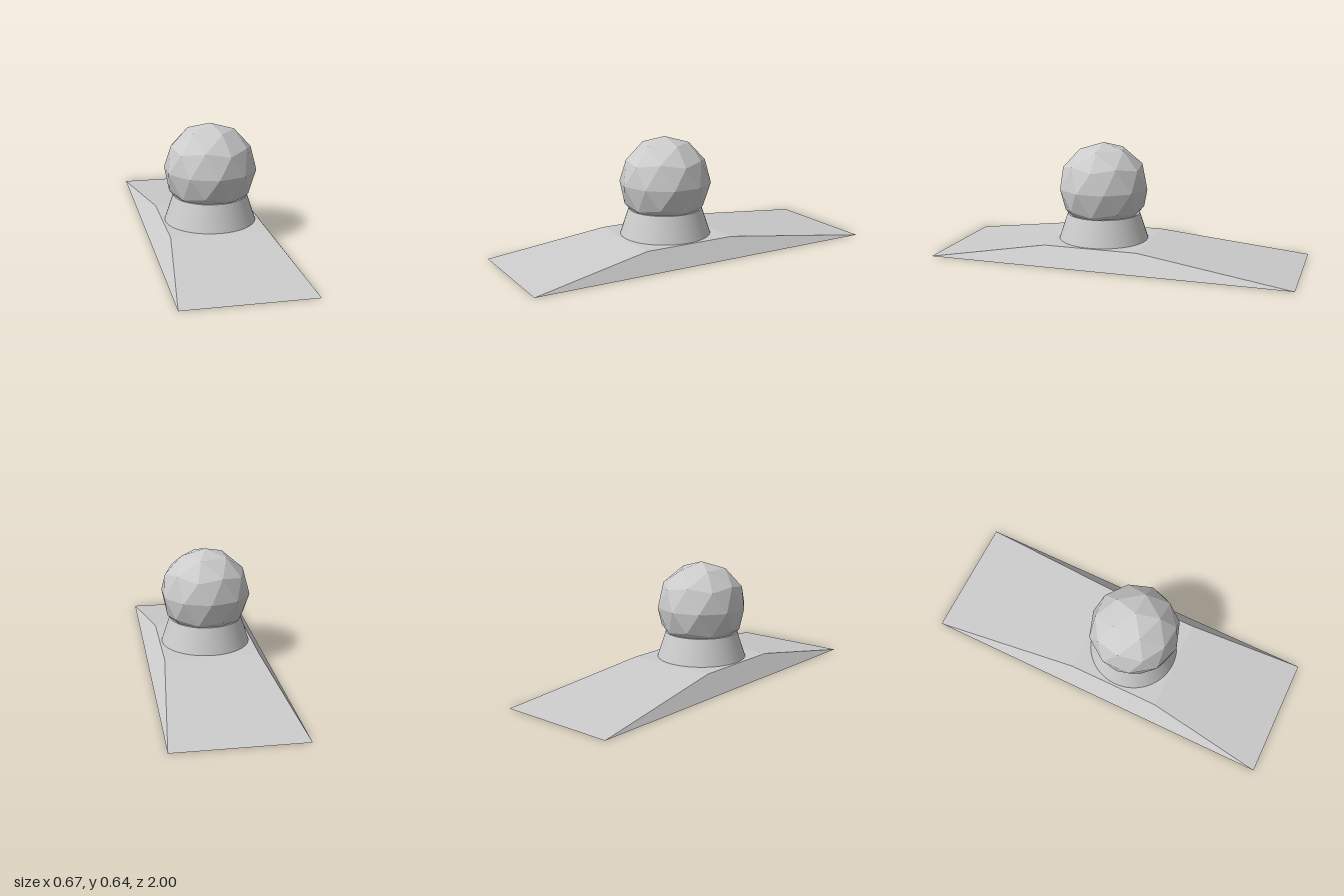
import * as THREE from 'three';

const material = (options = {}) => new THREE.MeshStandardMaterial({ color: 0xcccccc, ...options });

function part(name, geometry, mat) {
  const mesh = new THREE.Mesh(geometry, mat);
  mesh.name = name;
  return mesh;
}

// Wedge-shaped base: a box whose top is pulled in to a small plateau
function baseGeometry() {
  const g = new THREE.BoxGeometry(0.672, 0.1, 2).translate(0, 0.05, 0);
  const p = g.attributes.position;
  for (let i = 0; i < p.count; i++) {
    if (p.getY(i) < 0.05) continue;
    p.setX(i, Math.sign(p.getX(i)) * 0.26);
    p.setZ(i, p.getZ(i) > 0 ? 0.352 : -0.168);
  }
  g.computeVertexNormals();
  return g;
}

export function createModel() {
  const group = new THREE.Group();
  group.name = 'ballOnRampBase';
  const centreZ = 0.098;

  group.add(part('base', baseGeometry(), material({ flatShading: true })));

  // Smooth tapered neck
  const neck = part('neck', new THREE.CylinderGeometry(0.2, 0.247, 0.143, 64), material());
  neck.position.set(0, 0.1715, centreZ);
  group.add(neck);

  // Faceted ball, turned so that one vertex points straight up
  const golden = (1 + Math.sqrt(5)) / 2;
  const ballGeometry = new THREE.IcosahedronGeometry(0.25, 1).rotateZ(-Math.atan2(1, golden));
  const ball = part('ball', ballGeometry, material({ flatShading: true }));
  ball.position.set(0, 0.386, centreZ);
  group.add(ball);

  return group;
}
